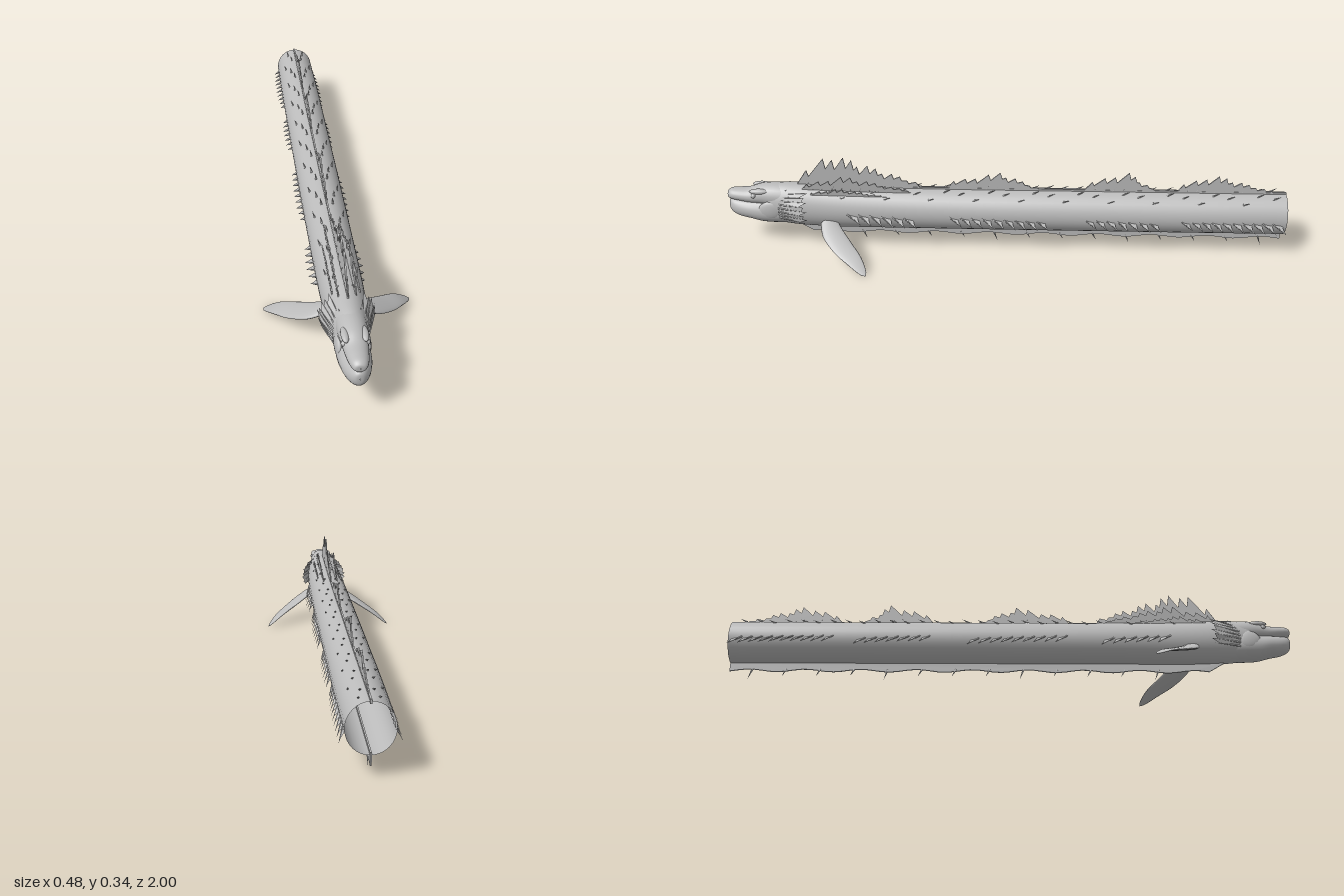
import * as THREE from 'three';

const skin = new THREE.MeshStandardMaterial({ color: 0xbcbcbc, side: THREE.DoubleSide });
skin.name = 'grey skin';

const V = (x, y, z) => new THREE.Vector3(x, y, z);

function add(parent, name, geometry) {
  const mesh = new THREE.Mesh(geometry, skin);
  mesh.name = name;
  parent.add(mesh);
  return mesh;
}

function buffer(positions, index) {
  const g = new THREE.BufferGeometry();
  g.setAttribute('position', new THREE.Float32BufferAttribute(positions, 3));
  if (index) g.setIndex(index);
  g.computeVertexNormals();
  return g;
}

// Skin over closed rings; ring(t, angle) gives a point
function loft(ring, steps, sides) {
  const pos = [], idx = [];
  for (let i = 0; i <= steps; i++) {
    for (let j = 0; j < sides; j++) pos.push(...ring(i / steps, j / sides * Math.PI * 2).toArray());
  }
  for (let i = 0; i < steps; i++) {
    for (let j = 0; j < sides; j++) {
      const k = (j + 1) % sides, a = i * sides + j, b = i * sides + k;
      idx.push(a, b, b + sides, a, b + sides, a + sides);
    }
  }
  return buffer(pos, idx);
}

// Loft along z from stations [z, top, bottom, halfWidth]
function zLoft(stations, steps, sides) {
  const mid = new THREE.CatmullRomCurve3(stations.map(s => V(s[1], s[2], s[0])));
  const wide = new THREE.CatmullRomCurve3(stations.map(s => V(s[3], 0, s[0])));
  return loft((t, a) => {
    const m = mid.getPoint(t), w = Math.max(wide.getPoint(t).x, 0.0005);
    return V(w * Math.cos(a), (m.x + m.y) / 2 + (m.x - m.y) / 2 * Math.sin(a), m.z);
  }, steps, sides);
}

// Slim spine between two points
function spine(parent, name, from, to, radius) {
  const d = to.clone().sub(from);
  const g = new THREE.ConeGeometry(radius, d.length(), 5, 1);
  g.translate(0, d.length() / 2, 0);
  const m = add(parent, name, g);
  m.position.copy(from);
  m.quaternion.setFromUnitVectors(V(0, 1, 0), d.normalize());
}

// Ragged upright membrane with swept spines, running from z0 back to z1
function raggedFin(name, z0, z1, base, height, peak, count, lean, thick) {
  const fin = new THREE.Group();
  fin.name = name;
  const shape = new THREE.Shape();
  const step = (z0 - z1) / count;
  const rise = t => height * (t < peak ? 0.5 + 0.5 * t / peak : 1 - 0.8 * (t - peak) / (1 - peak));
  shape.moveTo(-z0, base);
  for (let i = 0; i < count; i++) {
    const u = -z0 + i * step;
    const h = rise(i / (count - 1)) * (i % 3 === 2 ? 0.85 : 1);
    const tip = u + lean * h;
    shape.lineTo(tip, base + h);
    shape.lineTo(tip + step * 0.2, base + h * 0.66);
    spine(fin, 'fin spine', V(0, base, -u), V(0, base + h * 1.02, -tip), 0.004);
  }
  shape.lineTo(-z1, base);
  const g = new THREE.ExtrudeGeometry(shape, { depth: thick, bevelEnabled: false });
  g.translate(0, 0, -thick / 2);
  g.rotateY(Math.PI / 2);
  add(fin, 'fin membrane', g);
  return fin;
}

export function createModel() {
  const model = new THREE.Group();
  model.name = 'seaSerpent';

  // Long hollow body, open at the rear
  add(model, 'body', zLoft([
    [-1, 0.222, 0.067, 0.072], [-0.7, 0.222, 0.067, 0.075], [-0.4, 0.222, 0.067, 0.075],
    [-0.1, 0.222, 0.067, 0.075], [0.2, 0.222, 0.067, 0.074], [0.45, 0.225, 0.067, 0.072],
    [0.62, 0.23, 0.067, 0.069], [0.74, 0.235, 0.072, 0.063], [0.81, 0.234, 0.08, 0.054],
    [0.86, 0.222, 0.092, 0.042], [0.89, 0.2, 0.12, 0.02], [0.895, 0.165, 0.155, 0]], 80, 32));

  // Head: narrow upper snout over a broad lower jaw
  add(model, 'upperJaw', zLoft([
    [0.76, 0.23, 0.14, 0.048], [0.83, 0.234, 0.145, 0.046], [0.88, 0.229, 0.155, 0.041],
    [0.92, 0.215, 0.16, 0.036], [0.96, 0.213, 0.167, 0.031], [0.985, 0.211, 0.172, 0.025],
    [0.998, 0.203, 0.178, 0.016], [1, 0.193, 0.188, 0]], 36, 24));
  add(model, 'lowerJaw', zLoft([
    [0.77, 0.18, 0.08, 0.048], [0.83, 0.182, 0.08, 0.052], [0.88, 0.178, 0.084, 0.051],
    [0.92, 0.176, 0.095, 0.047], [0.96, 0.175, 0.103, 0.037], [0.985, 0.174, 0.114, 0.025],
    [0.996, 0.168, 0.128, 0.014], [0.999, 0.152, 0.148, 0]], 36, 24));

  // Low ridge down the whole back, four ragged crests above it
  const ridge = add(model, 'backRidge', new THREE.BoxGeometry(0.006, 0.014, 1.7));
  ridge.position.set(0, 0.221, -0.15);
  model.add(raggedFin('mainCrest', 0.75, 0.3, 0.22, 0.138, 0.12, 13, 0.6, 0.005));
  model.add(raggedFin('secondCrest', 0.21, -0.14, 0.217, 0.074, 0.45, 10, 0.75, 0.005));
  model.add(raggedFin('thirdCrest', -0.28, -0.55, 0.217, 0.084, 0.4, 8, 0.75, 0.005));
  model.add(raggedFin('rearCrest', -0.61, -0.97, 0.217, 0.076, 0.25, 11, 0.7, 0.005));

  // Belly keel: shallow fin with small downward barbs
  const keel = new THREE.Shape();
  keel.moveTo(-0.76, 0.075);
  for (let i = 0; i <= 60; i++) {
    keel.lineTo(-0.7 + i * 1.7 / 60, 0.039 + 0.005 * Math.sin(i * 0.9));
  }
  keel.lineTo(1, 0.075);
  const keelGeo = new THREE.ExtrudeGeometry(keel, { depth: 0.005, bevelEnabled: false });
  keelGeo.translate(0, 0, -0.0025);
  keelGeo.rotateY(Math.PI / 2);
  add(model, 'bellyKeel', keelGeo);
  for (let i = 0; i < 13; i++) {
    const z = 0.52 - i * 0.12;
    spine(model, 'bellyBarb', V(0, 0.045, z), V(0, i % 4 ? 0.018 : 0.006, z - 0.014), 0.004);
  }

  for (const s of [1, -1]) {
    const side = new THREE.Group();
    side.name = s > 0 ? 'leftSide' : 'rightSide';
    model.add(side);

    // Eye, brow and cheek
    const eye = add(side, 'eye', new THREE.SphereGeometry(0.009, 16, 12));
    eye.position.set(s * 0.034, 0.2, 0.9);
    const brow = add(side, 'brow', new THREE.SphereGeometry(1, 16, 12));
    brow.scale.set(0.012, 0.01, 0.035);
    brow.position.set(s * 0.029, 0.215, 0.88);
    const cheek = add(side, 'cheek', new THREE.SphereGeometry(1, 16, 12));
    cheek.scale.set(0.013, 0.036, 0.045);
    cheek.position.set(s * 0.042, 0.145, 0.84);

    // Two smaller crests beside the main one
    for (const [x, y, h, z0, z1] of [[0.025, 0.213, 0.072, 0.73, 0.32], [0.041, 0.203, 0.036, 0.7, 0.4]]) {
      const crest = raggedFin('sideCrest', z0, z1, 0, h, 0.3, 12, 0.7, 0.004);
      crest.position.set(s * x, y, 0);
      crest.rotation.z = -s * 0.1;
      side.add(crest);
    }

    // Gill frill: ribs fanning back from the neck, joined by webbing
    const web = [];
    let last = null;
    for (let i = 0; i < 8; i++) {
      const a = 0.95 - i * 0.2, c = Math.cos(a), n = Math.sin(a);
      const root = V(s * 0.053 * c, 0.15 + 0.07 * n, 0.81);
      const tip = V(s * (0.088 * c + 0.002), 0.154 + 0.086 * n, 0.7 + 0.012 * (i % 2));
      const notch = root.clone().lerp(tip, 0.8);
      spine(side, 'gillRib', root, tip, 0.004);
      if (last) {
        for (const p of [last.root, last.tip, notch, last.root, notch, root, root, notch, tip]) web.push(...p.toArray());
      }
      last = { root, tip };
    }
    add(side, 'gillWebbing', buffer(web));

    // Flank fins: four runs of swept, webbed blades
    const blades = [];
    for (const [z0, z1] of [[0.56, 0.36], [0.2, -0.11], [-0.28, -0.51], [-0.62, -0.95]]) {
      const count = Math.round((z0 - z1) / 0.034);
      for (let i = 0; i < count; i++) {
        const t = i / (count - 1), z = z0 - (z0 - z1) * t;
        const y = 0.15 - 0.01 * t, reach = 0.083 + 0.011 * Math.sin(Math.PI * (0.15 + 0.7 * t));
        const front = V(s * 0.07, y, z), rear = V(s * 0.071, y - 0.01, z - 0.036);
        const tip = V(s * reach, y - 0.036, z - 0.05), notch = V(s * (reach - 0.008), y - 0.022, z - 0.04);
        for (const p of [front, notch, tip, front, rear, notch]) blades.push(...p.toArray());
        spine(side, 'flankSpine', front, tip, 0.0035);
      }
    }
    add(side, 'flankFins', buffer(blades));

    // Small barbs lying along the back
    for (let i = 0; i < 34; i++) {
      const z = 0.8 - i * 0.053, a = [1.15, 0.85, 1.3][i % 3];
      const x = 0.072 * Math.cos(a), y = 0.145 + 0.077 * Math.sin(a);
      spine(side, 'backBarb', V(s * x, y - 0.001, z),
        V(s * (x + 0.01 * Math.cos(a)), y + 0.012 * Math.sin(a), z - 0.025), 0.004);
    }

    // Paddle-shaped pectoral fin sweeping out, down and back, leading edge low
    const path = new THREE.CatmullRomCurve3([
      V(0.05, 0.115, 0.635), V(0.095, 0.091, 0.615), V(0.15, 0.061, 0.57),
      V(0.2, 0.034, 0.52), V(0.242, 0.002, 0.479)]);
    add(side, 'pectoralFin', loft((t, a) => {
      const w = 0.039 * Math.pow(Math.sin(Math.PI * (0.22 + 0.78 * t)), 0.55) * (1 - 0.1 * t);
      const c = w * Math.cos(a * s), h = (0.011 * (1 - t) + 0.001) * Math.sin(a * s);
      const p = path.getPoint(t);
      return V(s * (p.x + c * 0.58 + h * 0.4), p.y - c * 0.25 + h * 0.9, p.z + c * 0.78);
    }, 24, 16));
  }
  return model;
}
